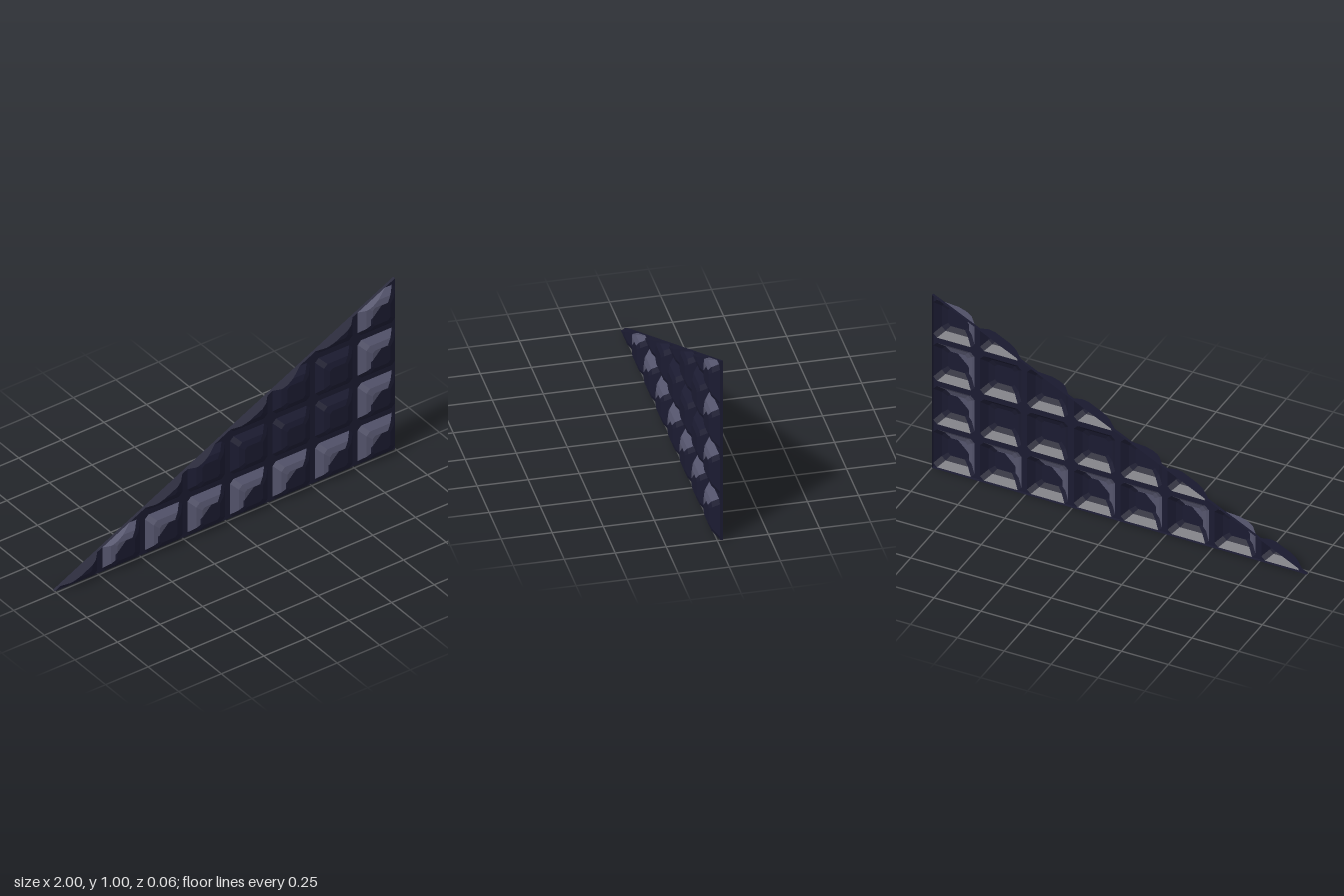
import * as THREE from 'three';

const PITCH = 0.25, PAD = 0.22;
const BASE_Z = -0.013, BACK_Z = -0.028;
const SLOPE = [0.5, -1, 0.5]; // sloping edge of the panel, positive below it
// pad rings: inset from the pad edge, height, corner cut
const RINGS = [[0, BASE_Z, 0.02], [0.03, 0.018, 0.02], [0.058, 0.029, 0.014]];

const side = ([a, b, c], p) => a * p.x + b * p.y + c;

// Split a convex polygon by the line a*x + b*y + c = 0 into [positive, negative] pieces
function split(poly, line) {
  const inside = [], outside = [];
  poly.forEach((p, i) => {
    const q = poly[(i + 1) % poly.length];
    const dp = side(line, p), dq = side(line, q);
    if (dp >= 0) inside.push(p);
    if (dp <= 0) outside.push(p);
    if (dp * dq < 0) {
      const m = p.clone().lerp(q, dp / (dp - dq));
      inside.push(m);
      outside.push(m);
    }
  });
  return [inside, outside];
}

// Remove a convex region (list of lines); returns [the part within, pieces outside]
function carve(poly, lines) {
  const pieces = [];
  for (const line of lines) {
    const [inside, outside] = split(poly, line);
    if (outside.length > 2) pieces.push(outside);
    poly = inside;
    if (poly.length < 3) break;
  }
  return [poly, pieces];
}

// Octagonal ring of a pad, counter-clockwise from the bottom edge
function ring(x, y, [inset, z, cut]) {
  const l = x + inset, r = x + PAD - inset, b = y + inset, t = y + PAD - inset;
  return [
    [l + cut, b], [r - cut, b], [r, b + cut], [r, t - cut],
    [r - cut, t], [l + cut, t], [l, t - cut], [l, b + cut],
  ].map(([px, py]) => new THREE.Vector3(px, py, z));
}

// Lines bounding a counter-clockwise polygon, positive inside
const edgesOf = (poly) => poly.map((p, i) => {
  const q = poly[(i + 1) % poly.length];
  const a = p.y - q.y, b = q.x - p.x;
  return [a, b, -(a * p.x + b * p.y)];
});

// Trim a polygon to the sloping edge and fan it into triangles;
// where it was cut, close the opening down to the sheet
function addPoly(list, poly, capList) {
  const [p] = split(poly, SLOPE);
  for (let i = 1; i < p.length - 1; i++) list.push(p[0], p[i], p[i + 1]);
  if (!capList || p.length < 3) return;
  const onSlope = (v) => Math.abs(side(SLOPE, v)) < 1e-6;
  p.forEach((v, i) => {
    const w = p[(i + 1) % p.length];
    if (!onSlope(v) || !onSlope(w)) return;
    const v0 = v.clone().setZ(BASE_Z), w0 = w.clone().setZ(BASE_Z);
    capList.push(v, v0, w0, v, w0, w);
  });
}

function makeMesh(name, points, material) {
  const geometry = new THREE.BufferGeometry().setFromPoints(points);
  geometry.computeVertexNormals();
  const mesh = new THREE.Mesh(geometry, material);
  mesh.name = name;
  return mesh;
}

export function createModel() {
  const navy = new THREE.MeshStandardMaterial({ color: 0x1b1b31, side: THREE.DoubleSide });
  navy.name = 'dark navy';
  const grey = new THREE.MeshStandardMaterial({ color: 0x54546c, side: THREE.DoubleSide });
  grey.name = 'worn grey';

  const sheet = [], pads = [], highlights = [], rim = [], caps = [], paleCaps = [];

  for (let i = 0; i < 8; i++) {
    for (let j = 0; j < 4; j++) {
      const x = -0.97 + i * PITCH, y = j * PITCH;
      const rings = RINGS.map((r) => ring(x, y, r));

      // grooves: the cell around the pad
      const cell = [[x - 0.03, y], [x + PAD, y], [x + PAD, y + PITCH], [x - 0.03, y + PITCH]]
        .map(([px, py]) => new THREE.Vector3(px, py, BASE_Z));
      carve(cell, edgesOf(rings[0]))[1].forEach((p) => addPoly(sheet, p));

      // pad faces; the outer row and column carry a pale upper-left patch
      const marked = (j === 0 && i > 0) || i === 7;
      const capList = marked ? paleCaps : caps;
      const u = x + 0.05, v = y + 0.16;
      const darkZone = [[1, 0, -u], [0, -1, v], [1, -1, v - u - 0.06]];
      const addFace = (poly, canMark) => {
        if (!marked || !canMark) return addPoly(pads, poly, capList);
        const [dark, pale] = carve(poly, darkZone);
        addPoly(pads, dark, capList);
        pale.forEach((p) => addPoly(highlights, p, capList));
      };
      for (let k = 0; k < 2; k++) {
        for (let e = 0; e < 8; e++) {
          const n = (e + 1) % 8;
          addFace([rings[k][e], rings[k][n], rings[k + 1][n], rings[k + 1][e]], e > 3 && e < 7);
        }
      }
      addFace(rings[2], true);
    }
  }

  // rim around the open back
  const corners = [[-1, 0], [1, 0], [1, 1]];
  corners.forEach(([ax, ay], i) => {
    const [bx, by] = corners[(i + 1) % 3];
    const [a, b, c, d] = [[ax, ay, BACK_Z], [bx, by, BACK_Z], [bx, by, BASE_Z], [ax, ay, BASE_Z]]
      .map((p) => new THREE.Vector3(...p));
    rim.push(a, b, c, a, c, d);
  });

  const group = new THREE.Group();
  group.name = 'triangularPanel';
  group.add(
    makeMesh('grooveSheet', sheet, navy),
    makeMesh('raisedPads', pads, navy),
    makeMesh('padHighlights', highlights, grey),
    makeMesh('slopeCaps', caps, navy),
    makeMesh('paleSlopeCaps', paleCaps, grey),
    makeMesh('rim', rim, navy),
  );
  return group;
}
